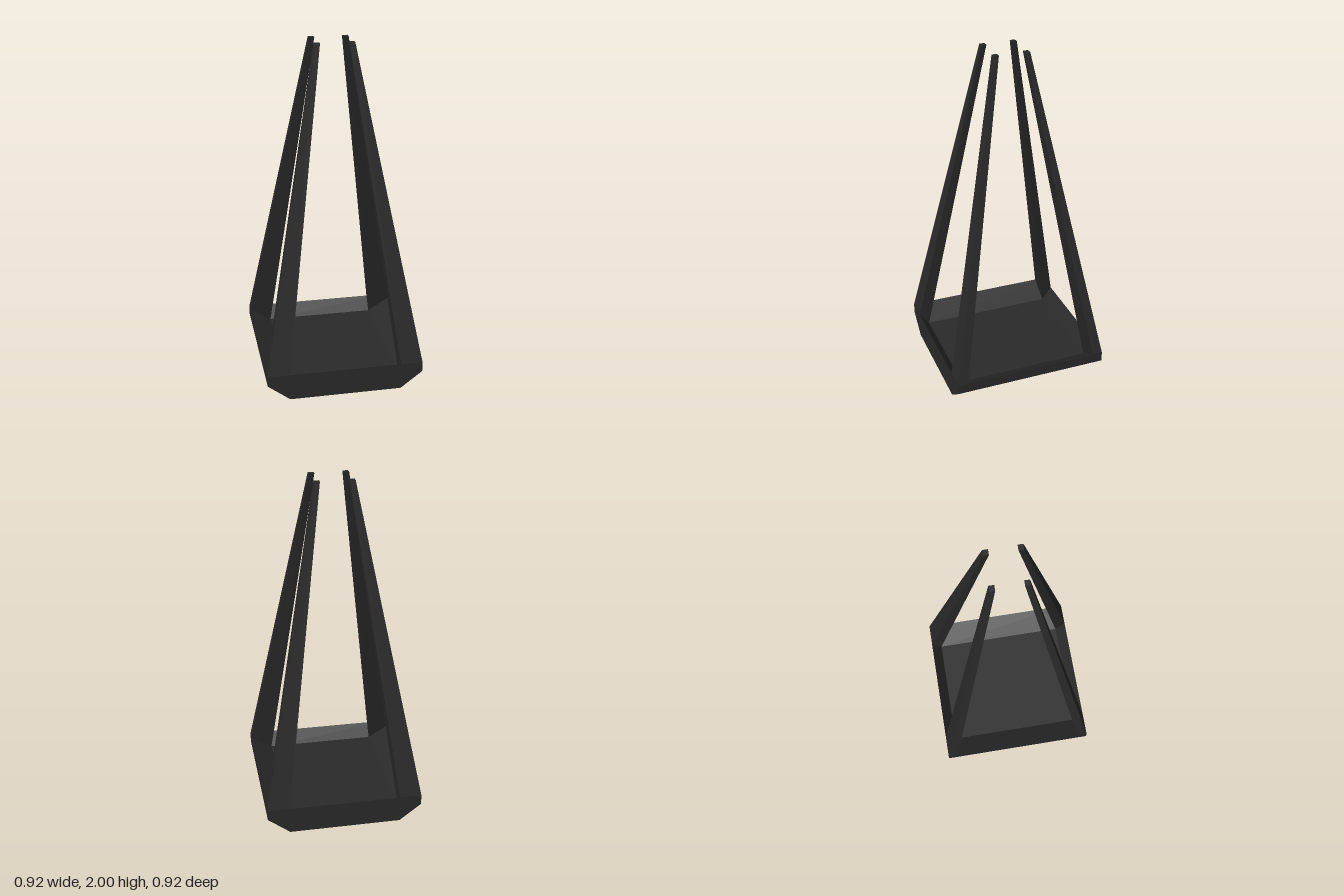
import * as THREE from 'three';
import { ConvexGeometry } from 'three/addons/geometries/ConvexGeometry.js';

// Corners of a rectangle at height y, counter-clockwise seen from above
const ring = (hx, y, hz) =>
  [[1, 1], [1, -1], [-1, -1], [-1, 1]].map(([sx, sz]) => new THREE.Vector3(sx * hx, y, sz * hz));

// Closed loft through a series of rectangles, with flat faces
function loft(rings) {
  const points = [];
  const quad = (a, b, c, d) => points.push(a, b, c, a, c, d);
  quad(...[...rings[0]].reverse());
  for (let r = 0; r < rings.length - 1; r++) {
    const lower = rings[r], upper = rings[r + 1];
    for (let i = 0; i < 4; i++) {
      const j = (i + 1) % 4;
      quad(lower[i], lower[j], upper[j], upper[i]);
    }
  }
  quad(...rings[rings.length - 1]);
  const geometry = new THREE.BufferGeometry().setFromPoints(points);
  geometry.computeVertexNormals();
  return geometry;
}

export function createModel() {
  const model = new THREE.Group();
  model.name = 'taperedStand';
  const material = new THREE.MeshStandardMaterial({ color: 0x2a2a2a, flatShading: true });

  // Shallow tray: chamfered outside in x, sharp rim, sloping down to the floor
  const tray = new THREE.Mesh(loft([
    ring(0.33, 0, 0.46),
    ring(0.46, 0.1, 0.46),
    ring(0.46, 0.16, 0.46),
    ring(0.33, 0.08, 0.4),
  ]), material);
  tray.name = 'baseTray';
  model.add(tray);

  // Four tapering legs leaning inward; the inner corner reaches the tray floor
  const legCorners = [
    [0.46, 0.16, 0.46], [0.33, 0.16, 0.46], [0.46, 0.16, 0.4], [0.33, 0.08, 0.4],
    [0.115, 2, 0.105], [0.082, 2, 0.105], [0.115, 2, 0.075], [0.082, 2, 0.075],
  ];
  for (const sx of [1, -1]) {
    for (const sz of [1, -1]) {
      const corners = legCorners.map(([x, y, z]) => new THREE.Vector3(sx * x, y, sz * z));
      const leg = new THREE.Mesh(new ConvexGeometry(corners), material);
      leg.name = (sz > 0 ? 'front' : 'back') + (sx > 0 ? 'Left' : 'Right') + 'Leg';
      model.add(leg);
    }
  }
  return model;
}
